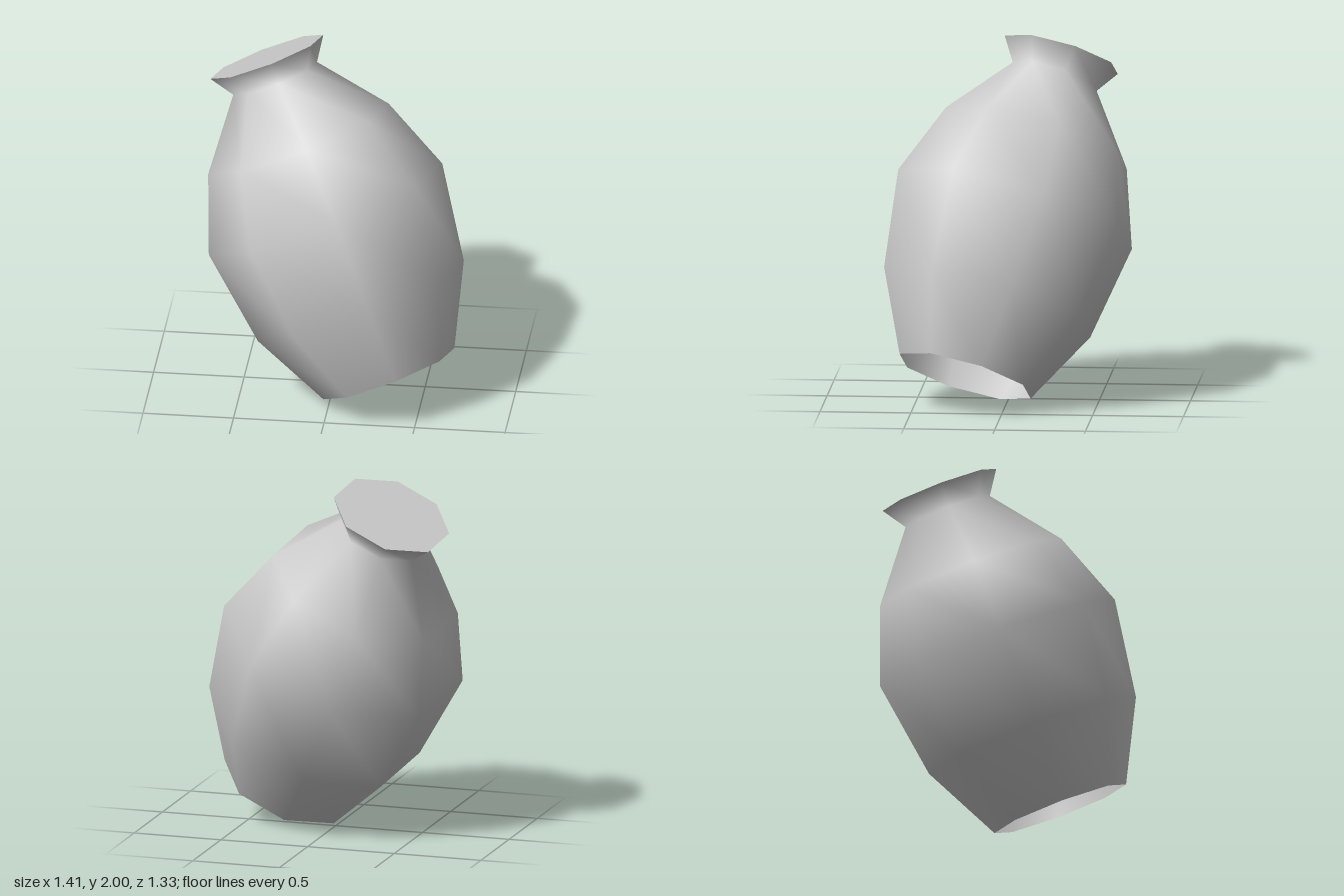
import * as THREE from 'three';

// Tilted eight-sided vase: open underneath, closed at the rim
export function createModel() {
  const model = new THREE.Group();
  model.name = 'tiltedVase';

  const clay = new THREE.MeshStandardMaterial({ color: 0xcccccc, side: THREE.DoubleSide });
  clay.name = 'light grey clay';

  const SIDES = 8;
  // [radius, distance along the axis]
  const profile = [
    [0.386, 0], [0.607, 0.433], [0.688, 0.977],
    [0.532, 1.394], [0.247, 1.753], [0.333, 1.881],
  ].map(([r, h]) => new THREE.Vector2(r, h));
  const rim = profile[profile.length - 1];

  const vase = new THREE.Group();
  vase.name = 'vase';

  // Smooth body with belly, neck and flared lip
  const body = new THREE.Mesh(new THREE.LatheGeometry(profile, SIDES), clay);
  body.name = 'body';
  vase.add(body);

  // Flat disc closing the mouth
  const mouth = new THREE.Mesh(new THREE.CircleGeometry(rim.x, SIDES), clay);
  mouth.name = 'mouthDisc';
  mouth.rotation.x = -Math.PI / 2;
  mouth.position.y = rim.y;
  vase.add(mouth);

  // Lean the axis, with one corner of every ring pointing along `corner`
  const axis = new THREE.Vector3(-0.388, 0.887, -0.251).normalize();
  const corner = new THREE.Vector3(0.77, 0.46, 0.435);
  const side = new THREE.Vector3().crossVectors(axis, corner).normalize();
  corner.crossVectors(side, axis);
  vase.quaternion.setFromRotationMatrix(new THREE.Matrix4().makeBasis(side, axis, corner));
  vase.position.set(0.325, 0.18, 0.215);

  model.add(vase);
  return model;
}
